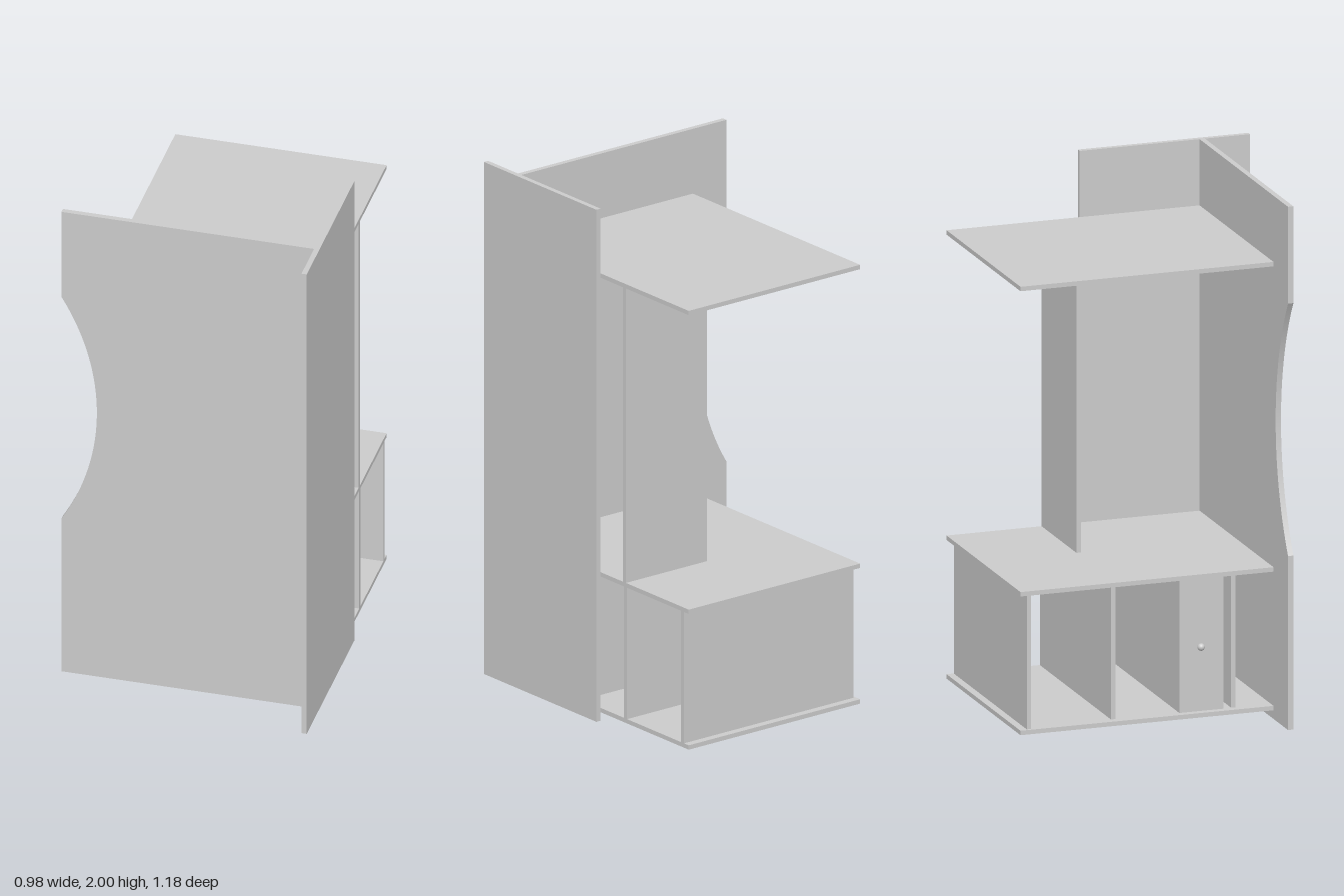
import * as THREE from 'three';

export function createModel() {
  const model = new THREE.Group();
  const material = new THREE.MeshStandardMaterial({ color: 0xcccccc });

  const add = (name, geometry) => {
    const mesh = new THREE.Mesh(geometry, material);
    mesh.name = name;
    model.add(mesh);
    return mesh;
  };
  // Board given by its minimum and maximum on each axis
  const board = (name, [x0, x1], [y0, y1], [z0, z1]) =>
    add(name, new THREE.BoxGeometry(x1 - x0, y1 - y0, z1 - z0))
      .position.set((x0 + x1) / 2, (y0 + y1) / 2, (z0 + z1) / 2);

  // Tall side panel
  board('sidePanel', [0.47, 0.49], [0, 2], [-0.073, 0.592]);

  // Tall front panel with an arc cut into its free edge
  const left = -0.493, cutLow = 0.665, cutHigh = 1.63, depth = 0.135;
  const half = (cutHigh - cutLow) / 2;
  const radius = (half * half + depth * depth) / (2 * depth);
  const angle = Math.asin(half / radius);
  const outline = new THREE.Shape();
  outline.moveTo(left, 0);
  outline.lineTo(0.47, 0);
  outline.lineTo(0.47, 2);
  outline.lineTo(left, 2);
  outline.lineTo(left, cutHigh);
  outline.absarc(left + depth - radius, (cutLow + cutHigh) / 2, radius, angle, -angle, true);
  outline.closePath();
  add('frontPanel', new THREE.ExtrudeGeometry(outline, {
    depth: 0.021, bevelEnabled: false, curveSegments: 40,
  })).position.z = 0.395;

  // Three horizontal boards
  const shelves = { baseShelf: 0.033, middleShelf: 0.563, topShelf: 1.73 };
  for (const [name, y] of Object.entries(shelves)) {
    board(name, [-0.335, 0.47], [y, y + 0.017], [-0.593, 0.395]);
  }

  // Short upright carrying the top board
  board('upperSupport', [0.09, 0.47], [0.58, 1.73], [-0.222, -0.205]);

  // Lower cabinet: back board and dividers
  const lower = [0.05, 0.563];
  board('cabinetBack', [-0.325, 0.47], lower, [-0.565, -0.548]);
  for (const z of [-0.229, 0.037, 0.24]) {
    board('cabinetDivider', [-0.305, 0.47], lower, [z, z + 0.017]);
  }

  // Narrow door with a round knob
  board('cabinetDoor', [-0.308, -0.29], lower, [0.037, 0.21]);
  const stem = add('knobStem', new THREE.CylinderGeometry(0.006, 0.006, 0.02, 16));
  stem.rotation.z = Math.PI / 2;
  stem.position.set(-0.315, 0.3, 0.115);
  add('knob', new THREE.SphereGeometry(0.014, 20, 14)).position.set(-0.328, 0.3, 0.115);

  return model;
}
